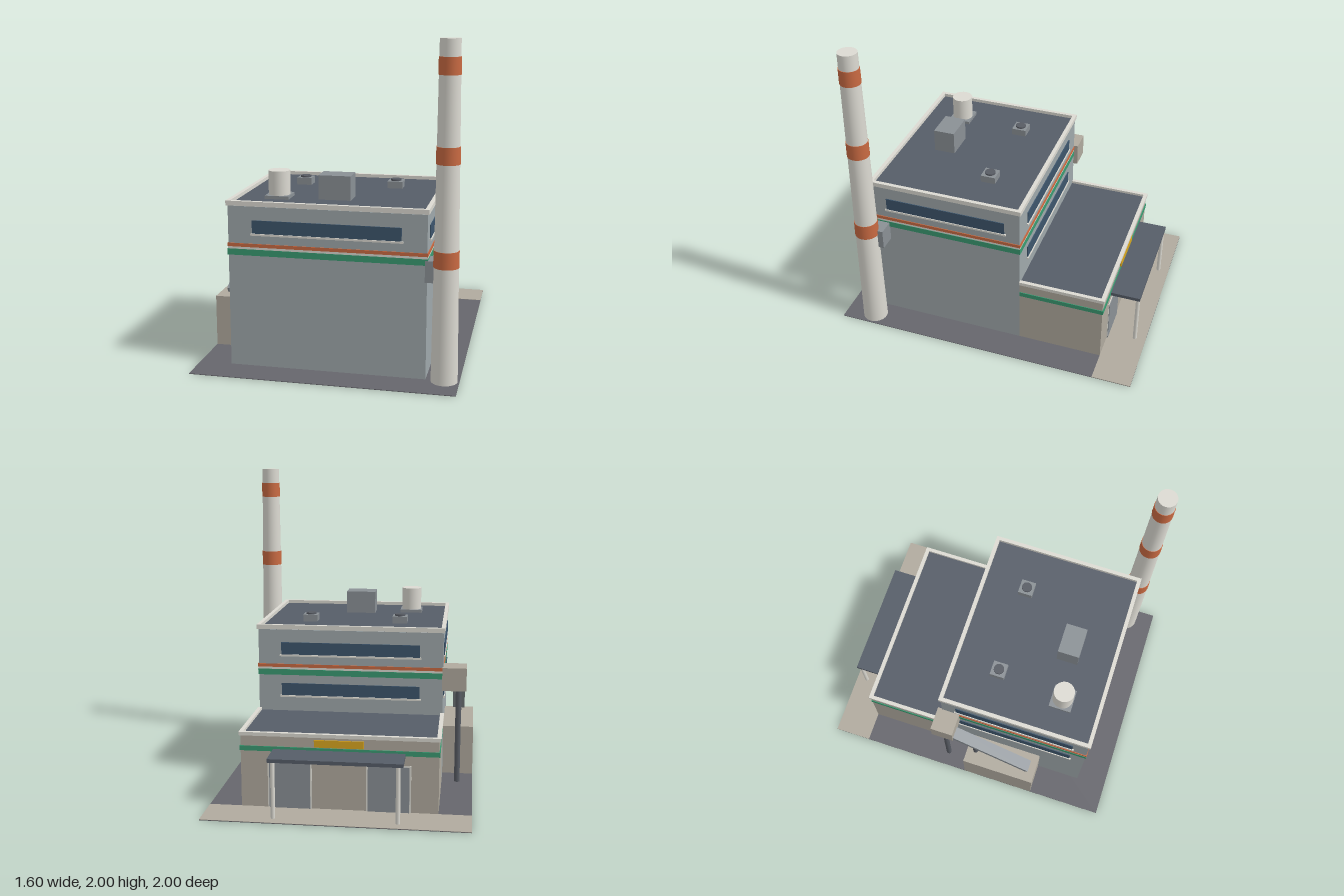
import * as THREE from 'three';

const mat = (color) => new THREE.MeshStandardMaterial({ color });
const M = {
  hall: mat(0x9fa8ab), beige: mat(0xb0aa9e), roof: mat(0x565d68), asphalt: mat(0x66666c),
  trim: mat(0xdcdad2), orange: mat(0xc96a42), green: mat(0x3a9a72), glass: mat(0x3d556c),
  metal: mat(0x8a9095), dark: mat(0x585c64), yellow: mat(0xd9a520),
};

export function createModel() {
  const model = new THREE.Group();
  model.name = 'boilerPlant';

  const add = (name, geometry, material, parent = model) => {
    const mesh = new THREE.Mesh(geometry, material);
    mesh.name = name;
    parent.add(mesh);
    return mesh;
  };
  // Box given by its limits along each axis
  const box = (name, m, x0, x1, y0, y1, z0, z1, parent) => {
    const mesh = add(name, new THREE.BoxGeometry(x1 - x0, y1 - y0, z1 - z0), m, parent);
    mesh.position.set((x0 + x1) / 2, (y0 + y1) / 2, (z0 + z1) / 2);
    return mesh;
  };
  const cyl = (name, m, x, z, y0, y1, rBottom, rTop = rBottom, sides = 24, parent = model) => {
    const mesh = add(name, new THREE.CylinderGeometry(rTop, rBottom, y1 - y0, sides), m, parent);
    mesh.position.set(x, (y0 + y1) / 2, z);
    return mesh;
  };
  // Rectangular frame seen from above, extruded upward
  const frame = (name, m, x, z0, z1, y0, y1, t) => {
    const rect = (C, a, b, c, d) => {
      const p = new C();
      p.moveTo(a, c); p.lineTo(b, c); p.lineTo(b, d); p.lineTo(a, d); p.closePath();
      return p;
    };
    const shape = rect(THREE.Shape, -x, x, -z1, -z0);
    shape.holes.push(rect(THREE.Path, -x + t, x - t, -z1 + t, -z0 - t));
    const g = new THREE.ExtrudeGeometry(shape, { depth: y1 - y0, bevelEnabled: false });
    g.rotateX(-Math.PI / 2);
    add(name, g, m).position.y = y0;
  };

  // Site
  box('ground', M.asphalt, -0.8, 0.8, 0, 0.004, -1, 1);
  box('entranceApron', M.beige, -0.8, 0.8, 0.002, 0.006, -1, -0.75);

  // Main hall
  box('hallWalls', M.hall, -0.6, 0.6, 0.004, 1.0, -0.2, 0.8);
  box('hallRoof', M.roof, -0.595, 0.595, 1.0, 1.01, -0.195, 0.795);
  frame('hallParapet', M.trim, 0.61, -0.21, 0.81, 1.003, 1.032, 0.025);
  frame('greenBand', M.green, 0.605, -0.205, 0.805, 0.7, 0.738, 0.01);
  frame('paleBand', M.trim, 0.603, -0.203, 0.803, 0.738, 0.752, 0.01);
  frame('orangeBand', M.orange, 0.605, -0.205, 0.805, 0.752, 0.773, 0.01);

  // Strip windows with sills, turned to face each side
  const stripWindow = (name, x, z, turn, width, y) => {
    const g = new THREE.Group();
    g.name = name;
    g.position.set(x, y, z);
    g.rotation.y = turn;
    box('glass', M.glass, -width / 2, width / 2, 0, 0.08, -0.005, 0.006, g);
    box('sill', M.trim, -width / 2 - 0.01, width / 2 + 0.01, -0.012, 0, -0.005, 0.011, g);
    model.add(g);
  };
  const q = Math.PI / 2;
  stripWindow('frontWindow', 0, 0.8, 0, 0.9, 0.837);
  stripWindow('leftWindow', 0.6, 0.3, q, 0.8, 0.837);
  for (const [level, y] of [['upper', 0.837], ['lower', 0.565]]) {
    stripWindow(level + 'RightWindow', -0.6, 0.3, -q, 0.8, y);
    stripWindow(level + 'BackWindow', 0, -0.2, 2 * q, 0.9, y);
  }

  // Low annex at the back
  box('annexWalls', M.beige, -0.6, 0.6, 0.004, 0.452, -0.75, -0.2);
  box('annexRoof', M.roof, -0.595, 0.595, 0.452, 0.46, -0.745, -0.2);
  box('annexParapetBack', M.trim, -0.61, 0.61, 0.455, 0.477, -0.76, -0.735);
  box('annexBandBack', M.green, -0.605, 0.605, 0.36, 0.39, -0.755, -0.745);
  for (const s of [-1, 1]) {
    const a = Math.min(s * 0.585, s * 0.61), b = Math.min(s * 0.595, s * 0.605);
    box('annexParapetSide', M.trim, a, a + 0.025, 0.455, 0.477, -0.735, -0.2);
    box('annexBandSide', M.green, b, b + 0.01, 0.36, 0.39, -0.745, -0.2);
    // Shutter doors and canopy posts
    box('doorFrame', M.trim, s * 0.3 - 0.135, s * 0.3 + 0.135, 0.006, 0.3, -0.754, -0.745);
    box('shutterDoor', M.metal, s * 0.3 - 0.125, s * 0.3 + 0.125, 0.006, 0.29, -0.758, -0.745);
    cyl('canopyPost', M.trim, s * 0.37, -0.928, 0.006, 0.355, 0.0135, 0.0135, 12);
  }
  box('canopy', M.roof, -0.4, 0.4, 0.353, 0.375, -0.945, -0.75);
  box('signPanel', M.yellow, -0.15, 0.15, 0.395, 0.44, -0.759, -0.745);

  // Chimney with warning bands, and its flue duct
  const cx = 0.71, cz = 0.8;
  const radiusAt = (y) => 0.08 - 0.01 * y;
  cyl('chimney', M.trim, cx, cz, 0.004, 2, radiusAt(0), radiusAt(2));
  for (const y of [0.7, 1.3, 1.8])
    cyl('chimneyBand', M.orange, cx, cz, y, y + 0.1, radiusAt(y) + 0.003, radiusAt(y + 0.1) + 0.003);
  box('flueDuct', M.metal, 0.588, 0.71, 0.6, 0.73, 0.69, 0.81);

  // Roof equipment
  box('airHandler', M.metal, -0.1, 0.1, 1.01, 1.16, 0.43, 0.57);
  box('tankBase', M.metal, -0.425, -0.275, 1.01, 1.03, 0.475, 0.62);
  cyl('roofTank', M.trim, -0.35, 0.548, 1.03, 1.18, 0.067);
  for (const x of [-0.3, 0.3]) {
    box('ventBase', M.metal, x - 0.048, x + 0.048, 1.01, 1.055, 0.052, 0.148);
    cyl('ventCap', M.dark, x, 0.1, 1.055, 1.066, 0.034, 0.034, 16);
  }

  // Fuel bunker, transfer box and sloping conveyor
  box('fuelBunker', M.beige, -0.8, -0.6, 0.004, 0.33, 0, 0.5);
  box('transferBox', M.beige, -0.75, -0.595, 0.63, 0.78, -0.23, -0.08);
  const top = new THREE.Vector2(-0.12, 0.672), low = new THREE.Vector2(0.445, 0.357);
  const conveyor = add('conveyor', new THREE.BoxGeometry(0.08, 0.036, top.distanceTo(low)), M.metal);
  conveyor.position.set(-0.7, (top.y + low.y) / 2, (top.x + low.x) / 2);
  conveyor.rotation.x = Math.atan2(top.y - low.y, low.x - top.x);
  const slopeY = (z) => THREE.MathUtils.mapLinear(z, top.x, low.x, top.y, low.y);
  cyl('transferPost', M.dark, -0.7, -0.155, 0.004, 0.64, 0.018, 0.018, 12);
  for (const z of [0.06, 0.4]) cyl('conveyorPost', M.dark, -0.7, z, 0.33, slopeY(z), 0.018, 0.018, 12);

  return model;
}
